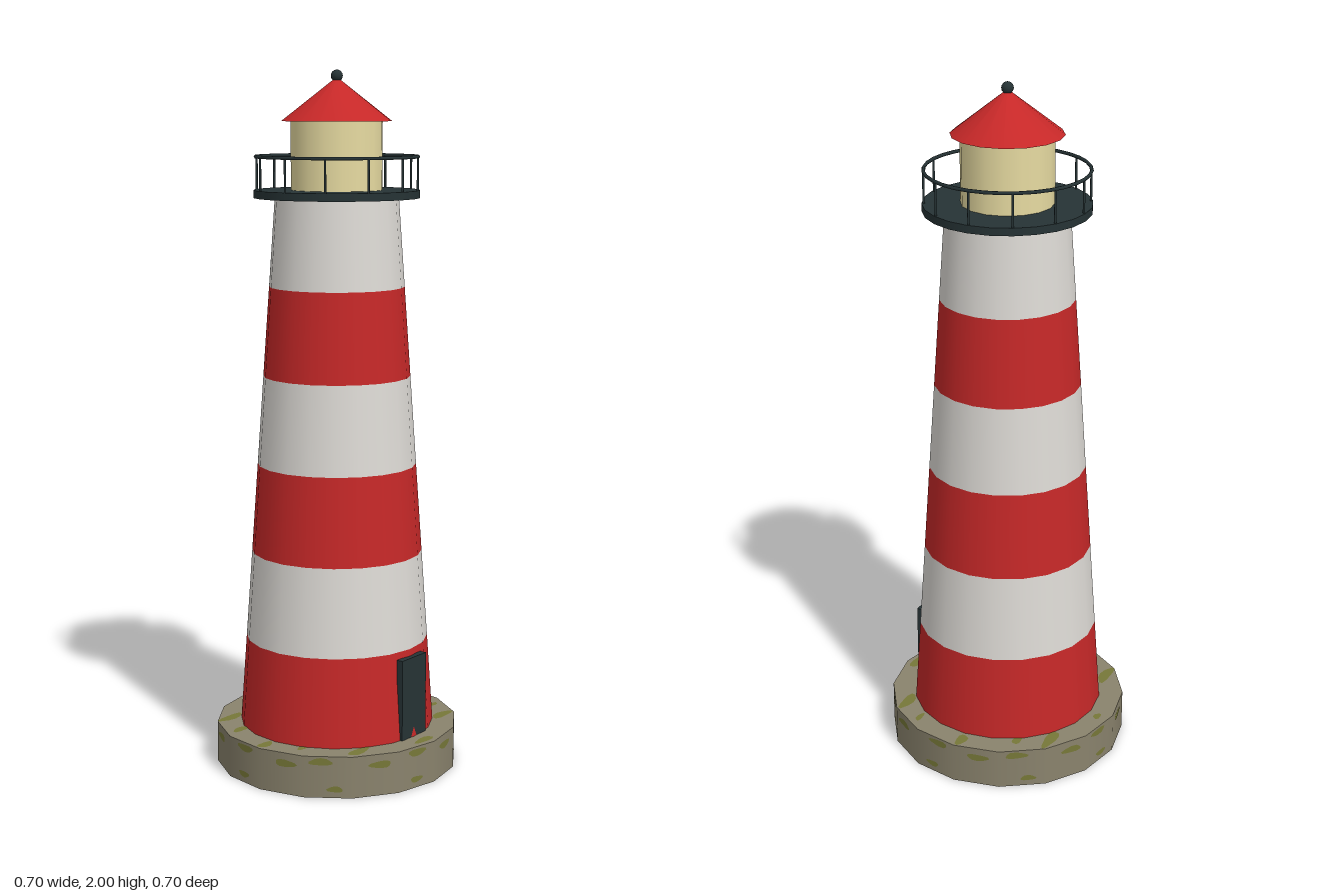
import * as THREE from 'three';

export function createModel() {
  const model = new THREE.Group();
  model.name = 'lighthouse';

  const material = (name, color) => new THREE.MeshStandardMaterial({ name, color });
  const red = material('red paint', 0xc62828);
  const white = material('white paint', 0xdedbd6);
  const iron = material('dark iron', 0x263335);
  const cream = material('lantern cream', 0xe8dca2);
  const stone = material('stone', 0x8a836d);
  const moss = material('moss', 0x777838);

  const add = (name, geometry, mat, x = 0, y = 0, z = 0, parent = model) => {
    const mesh = new THREE.Mesh(geometry, mat);
    mesh.name = name;
    mesh.position.set(x, y, z);
    parent.add(mesh);
    return mesh;
  };

  // Upright cylinder or cone between two heights
  const column = (name, r0, r1, y0, y1, sides, mat, open = false) =>
    add(name, new THREE.CylinderGeometry(r1, r0, y1 - y0, sides, 1, open), mat, 0, (y0 + y1) / 2, 0);

  // Stone plinth
  const baseR = 0.352, baseH = 0.12, baseSides = 16;
  column('plinth', baseR, baseR, 0, baseH, baseSides, stone);

  // Moss patches: thin wavy-edged ovals
  const mossGroup = new THREE.Group();
  mossGroup.name = 'mossPatches';
  model.add(mossGroup);
  const patch = (w, h, seed) => {
    const points = [];
    for (let i = 0; i < 12; i++) {
      const a = (i / 12) * Math.PI * 2;
      const r = 0.88 + 0.12 * Math.sin(3 * a + seed * 1.7);
      points.push(new THREE.Vector2(Math.cos(a) * w * r, Math.sin(a) * h * r));
    }
    return new THREE.ShapeGeometry(new THREE.Shape(points));
  };

  // Moss on the plinth top: x, z, half width, half depth
  [
    [-0.2, -0.24, 0.055, 0.019], [0.2, -0.24, 0.055, 0.019],
    [-0.262, -0.148, 0.035, 0.016], [0.245, -0.155, 0.028, 0.014],
    [-0.318, -0.008, 0.032, 0.018], [0.318, -0.008, 0.032, 0.018],
    [-0.28, 0.093, 0.018, 0.012], [0.265, 0.16, 0.025, 0.01],
    [-0.2, 0.235, 0.05, 0.019], [0.205, 0.235, 0.05, 0.019],
    [-0.01, 0.322, 0.045, 0.016], [0.025, -0.312, 0.018, 0.012],
  ].forEach(([x, z, w, d], i) => {
    add('topMoss', patch(w, d, i), moss, x, baseH + 0.001, z, mossGroup).rotation.x = -Math.PI / 2;
  });

  // Moss on the plinth sides, one high and sometimes one low patch per facet
  const apothem = baseR * Math.cos(Math.PI / baseSides) + 0.001;
  for (let i = 0; i < baseSides; i++) {
    const facet = new THREE.Group();
    facet.name = 'sideMoss';
    facet.rotation.y = ((i + 0.5) / baseSides) * Math.PI * 2;
    mossGroup.add(facet);
    const shift = 0.02 * Math.sin(i * 2.3);
    add('highMoss', patch(0.038, 0.012, i), moss, shift, i % 2 ? 0.104 : 0.09, apothem, facet);
    if (i % 2) add('lowMoss', patch(0.026, 0.01, i + 4), moss, -shift, 0.025, apothem, facet);
  }

  // Tapered tower in six alternating bands
  const towerBottom = baseH, towerTop = 1.65, bands = 6;
  const towerRadius = t => THREE.MathUtils.lerp(0.282, 0.175, t);
  for (let i = 0; i < bands; i++) {
    const t0 = i / bands, t1 = (i + 1) / bands;
    const y = t => THREE.MathUtils.lerp(towerBottom, towerTop, t);
    column('towerBand', towerRadius(t0), towerRadius(t1), y(t0), y(t1), 20, i % 2 ? white : red, true);
  }

  // Door
  add('door', new THREE.BoxGeometry(0.114, 0.235, 0.02), iron, 0, 0.2375, 0.27);

  // Gallery deck
  column('galleryDeck', 0.235, 0.235, 1.645, 1.667, 24, iron);

  // Railing
  const railing = new THREE.Group();
  railing.name = 'railing';
  model.add(railing);
  const railR = 0.229, railY = 1.76, posts = 12;
  add('handrail', new THREE.TorusGeometry(railR, 0.005, 6, 32), iron, 0, railY, 0, railing).rotation.x = Math.PI / 2;
  const postGeometry = new THREE.CylinderGeometry(0.0035, 0.0035, railY - 1.66, 6);
  for (let i = 0; i < posts; i++) {
    const a = (i / posts) * Math.PI * 2;
    add('railPost', postGeometry, iron, Math.sin(a) * railR, (railY + 1.66) / 2, Math.cos(a) * railR, railing);
  }

  // Lantern room, roof and finial
  column('lanternRoom', 0.13, 0.13, 1.66, 1.86, 16, cream);
  add('roof', new THREE.ConeGeometry(0.157, 0.122, 16), red, 0, 1.919, 0);
  add('finial', new THREE.SphereGeometry(0.017, 12, 8), iron, 0, 1.983, 0);

  return model;
}
